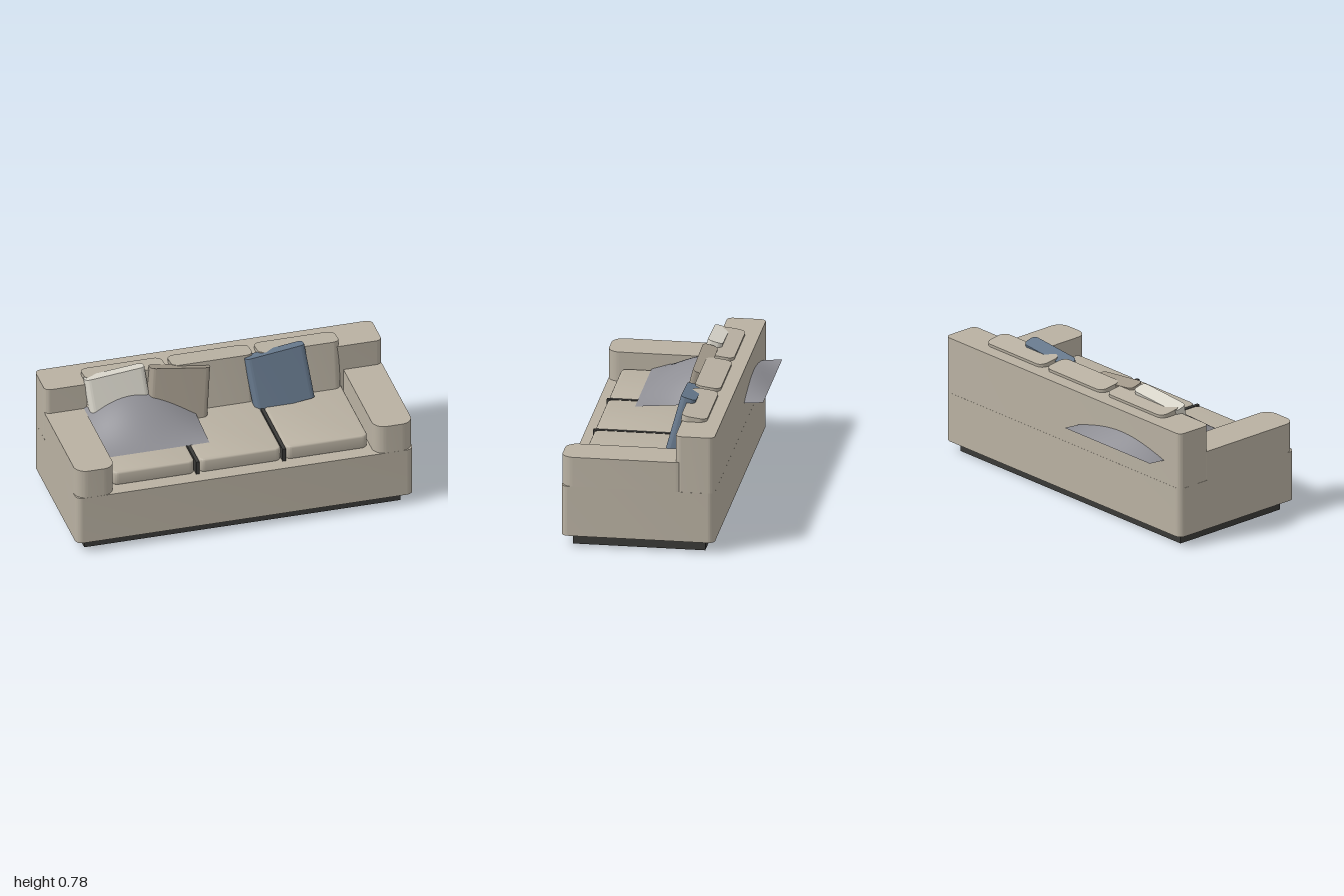
import * as THREE from 'three';
import { toCreasedNormals } from 'three/addons/utils/BufferGeometryUtils.js';

const material = (color) => new THREE.MeshStandardMaterial({ color });

// Upright slab, rounded in plan, centred on the origin
function slab(w, h, d, r, bevel = 0) {
  const x = w / 2 - bevel, y = d / 2 - bevel;
  r = Math.max(r - bevel, 0.005);
  const s = new THREE.Shape();
  s.moveTo(-x + r, -y);
  s.absarc(x - r, -y + r, r, -Math.PI / 2, 0);
  s.absarc(x - r, y - r, r, 0, Math.PI / 2);
  s.absarc(-x + r, y - r, r, Math.PI / 2, Math.PI);
  s.absarc(-x + r, -y + r, r, Math.PI, Math.PI * 1.5);
  const g = new THREE.ExtrudeGeometry(s, {
    depth: h - 2 * bevel, curveSegments: 8, bevelEnabled: bevel > 0,
    bevelThickness: bevel, bevelSize: bevel, bevelSegments: 3,
  });
  g.rotateX(-Math.PI / 2);
  g.center();
  return toCreasedNormals(g, 0.7);
}

export function createModel() {
  const sofa = new THREE.Group();
  sofa.name = 'sofa';
  const fabric = material(0xb9b1a2), dark = material(0x3a3a38);

  const add = (name, geometry, mat, position, rotation = [0, 0, 0]) => {
    const mesh = new THREE.Mesh(geometry, mat);
    mesh.name = name;
    mesh.position.set(...position);
    mesh.rotation.set(...rotation);
    sofa.add(mesh);
  };

  // Frame
  add('plinth', new THREE.BoxGeometry(1.876, 0.07, 0.764), dark, [0, 0.035, 0.053]);
  add('base', slab(2, 0.3, 0.885, 0.04), fabric, [0, 0.218, 0.053]);
  add('backrest', slab(2, 0.337, 0.225, 0.035), fabric, [0, 0.3685 + 0.1685, -0.277]);
  for (const [side, name] of [[1, 'leftArm'], [-1, 'rightArm']]) {
    add(name, slab(0.23, 0.178, 0.73, 0.07), fabric, [side * 0.885, 0.457, 0.13]);
  }

  // Seat and back cushions
  for (const x of [-0.517, -0.003, 0.51]) {
    add('seatCushion', slab(0.487, 0.085, 0.6, 0.035, 0.012), fabric, [x, 0.4085, 0.11]);
    add('backCushion', slab(0.48, 0.32, 0.15, 0.045), fabric, [x, 0.574, -0.214], [-0.13, 0, 0]);
  }

  // Dark welts in the gaps between seat cushions
  for (const x of [-0.26, 0.253]) {
    add('cushionGap', new THREE.BoxGeometry(0.02, 0.08, 0.56), dark, [x, 0.408, 0.14]);
  }

  // Loose pillows, leaning back and rolled sideways
  const pillow = slab(0.355, 0.325, 0.09, 0.03);
  add('creamPillow', pillow, material(0xdad7cc), [-0.575, 0.598, -0.135], [-0.26, 0, 0.09]);
  add('taupePillow', pillow, material(0xa09789), [-0.228, 0.584, -0.115], [-0.26, 0, -0.13]);
  add('bluePillow', pillow, material(0x66788c), [0.375, 0.591, -0.122], [-0.26, 0, 0.115]);

  // Throw: a sheet bulging in the middle, sloping down to the front
  const sheet = new THREE.PlaneGeometry(0.725, 0.74, 24, 24).rotateX(-Math.PI / 2);
  const p = sheet.attributes.position;
  for (let i = 0; i < p.count; i++) {
    const u = p.getX(i) / 0.3625, v = p.getZ(i) / 0.37;
    const bulge = Math.cos(u * Math.PI / 2) * Math.cos(v * Math.PI / 2);
    p.setY(i, 0.485 - 0.032 * v + 0.148 * bulge);
  }
  sheet.computeVertexNormals();
  const throwMaterial = material(0x8e8e94);
  throwMaterial.side = THREE.DoubleSide;
  add('throwBlanket', sheet, throwMaterial, [-0.5025, 0, -0.13]);

  return sofa;
}
